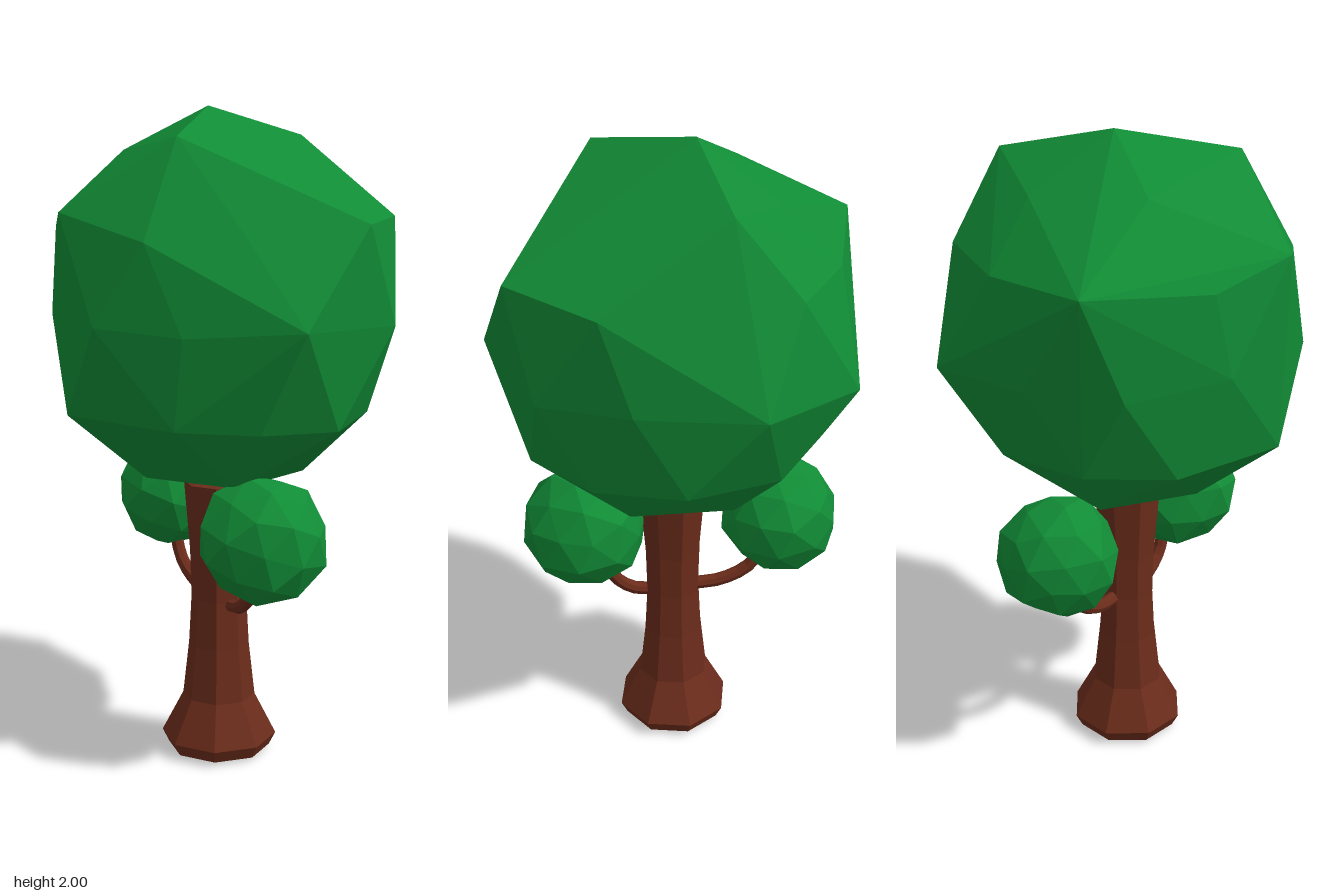
import * as THREE from 'three';
import { ConvexGeometry } from 'three/addons/geometries/ConvexGeometry.js';

const leaf = new THREE.MeshStandardMaterial({ color: 0x118c36, flatShading: true });
const bark = new THREE.MeshStandardMaterial({ color: 0x6b2c1b, flatShading: true });

function add(parent, name, geometry, material) {
  const mesh = new THREE.Mesh(geometry, material);
  mesh.name = name;
  parent.add(mesh);
  return mesh;
}

// Crown: irregular faceted ball, given ring by ring from the top down
const crownPoints = [
  [0, 2, -0.065],
  [0.36, 1.91, -0.12], [0.1, 1.82, 0.24], [-0.25, 1.92, 0.21], [-0.21, 1.87, -0.21], [0.13, 1.84, -0.29],
  [0.46, 1.68, 0.25], [0.21, 1.68, 0.49], [-0.13, 1.65, 0.39], [-0.39, 1.64, 0.28], [-0.525, 1.71, 0.02],
  [-0.43, 1.65, -0.22], [-0.22, 1.69, -0.55], [0.14, 1.66, -0.46], [0.39, 1.67, -0.31], [0.44, 1.67, -0.04],
  [0.52, 1.38, -0.2], [0.47, 1.39, 0.16], [0.35, 1.38, 0.42], [-0.03, 1.4, 0.55], [-0.31, 1.38, 0.35],
  [-0.495, 1.4, 0.17], [-0.465, 1.4, -0.18], [-0.28, 1.37, -0.43], [0, 1.37, -0.51], [0.32, 1.36, -0.49],
  [0.45, 1.11, 0.01], [0.36, 1.1, 0.27], [0.15, 1.09, 0.435], [-0.1, 1.1, 0.42], [-0.31, 1.11, 0.3],
  [-0.51, 1.13, 0.02], [-0.35, 1.1, -0.27], [-0.14, 1.11, -0.43], [0.14, 1.11, -0.43], [0.36, 1.1, -0.27],
  [0.21, 0.91, 0.15], [-0.08, 0.91, 0.25], [-0.25, 0.91, 0], [-0.08, 0.92, -0.26], [0.21, 0.91, -0.16],
  [0, 0.86, 0],
];

// Small leaf ball: icosphere whose shared corners move in and out together
function leafBall(radius, seed) {
  const geometry = new THREE.IcosahedronGeometry(radius, 1);
  const position = geometry.attributes.position;
  const scales = new Map();
  const v = new THREE.Vector3();
  for (let i = 0; i < position.count; i++) {
    v.fromBufferAttribute(position, i);
    const key = v.toArray().map((n) => Math.round(n * 1000)).join();
    if (!scales.has(key)) {
      seed = (seed * 16807) % 2147483647;
      scales.set(key, 0.94 + 0.12 * (seed / 2147483647));
    }
    v.multiplyScalar(scales.get(key));
    position.setXYZ(i, v.x, v.y, v.z);
  }
  geometry.computeVertexNormals();
  return geometry;
}

export function createModel() {
  const tree = new THREE.Group();
  tree.name = 'tree';

  // Eight-sided trunk with a flared foot
  const profile = [[0, 0], [0.16, 0.01], [0.18, 0.05], [0.113, 0.18], [0.094, 0.35],
    [0.086, 0.5], [0.09, 0.65], [0.108, 0.87], [0, 0.9]];
  const trunk = add(tree, 'trunk',
    new THREE.LatheGeometry(profile.map(([r, y]) => new THREE.Vector2(r, y)), 8), bark);
  trunk.rotation.y = 0.2;

  const points = crownPoints.map((p) => new THREE.Vector3(...p));
  add(tree, 'crown', new ConvexGeometry(points), leaf);

  // Curved side branches, each carrying a small leaf ball
  const sides = [
    { name: 'front', path: [[0.06, 0.49], [0.13, 0.5], [0.19, 0.55], [0.22, 0.65]],
      ball: [-0.005, 0.75, 0.275], radius: 0.194, seed: 4711 },
    { name: 'back', path: [[-0.06, 0.5], [-0.16, 0.51], [-0.25, 0.56], [-0.3, 0.66]],
      ball: [0.02, 0.77, -0.335], radius: 0.184, seed: 90210 },
  ];
  for (const { name, path, ball, radius, seed } of sides) {
    const curve = new THREE.CatmullRomCurve3(path.map(([z, y]) => new THREE.Vector3(0, y, z)));
    add(tree, name + 'Branch', new THREE.TubeGeometry(curve, 8, 0.021, 8), bark);
    const mesh = add(tree, name + 'LeafBall', leafBall(radius, seed), leaf);
    mesh.position.set(...ball);
    mesh.rotation.set(0.4, 0.7, 0.2);
  }
  return tree;
}
